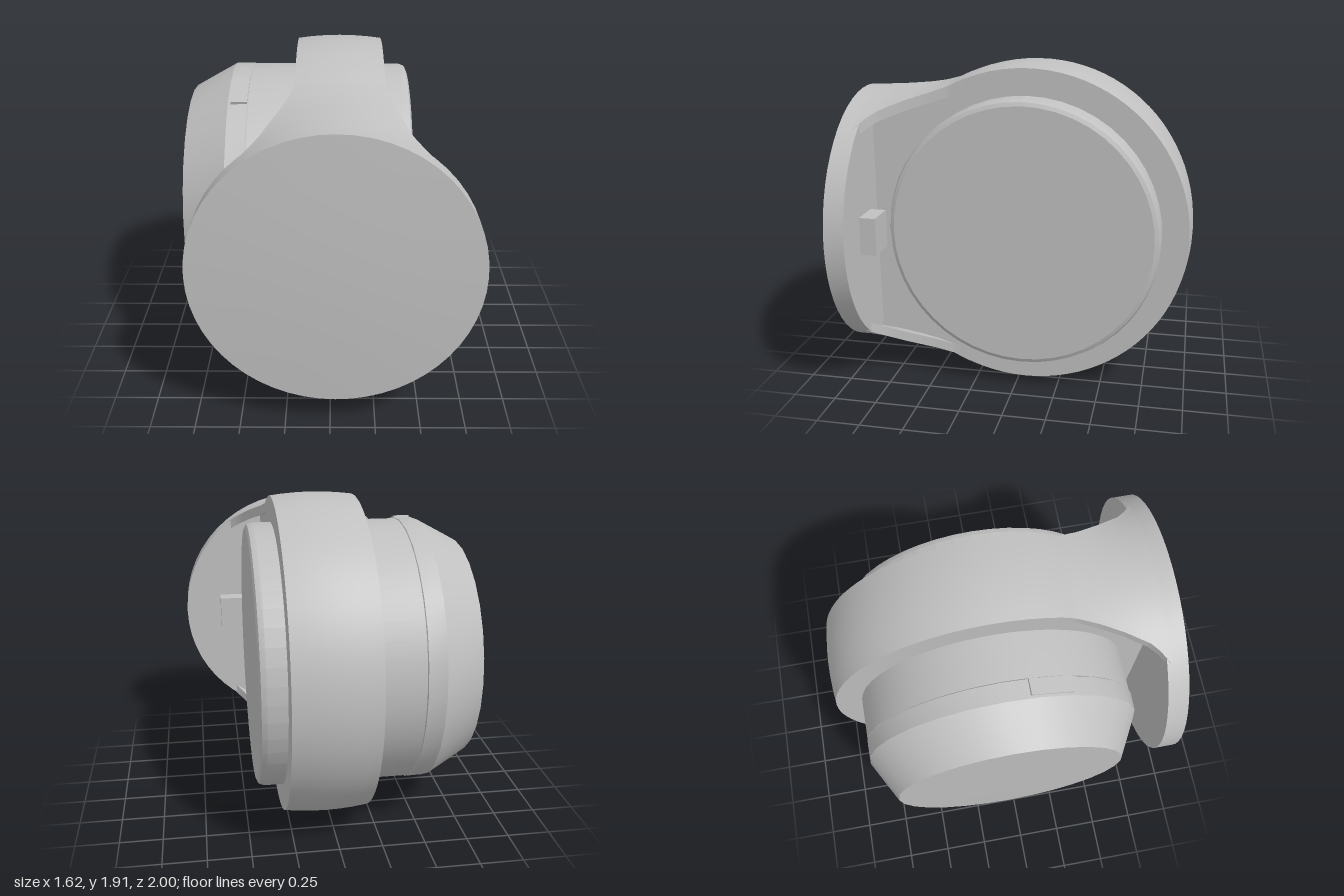
import * as THREE from 'three';
import { toCreasedNormals } from 'three/addons/utils/BufferGeometryUtils.js';

const CY = 0.957, CZ = -0.048, R = 0.953, CX = 0.05, HALF = 0.24;

export function createModel() {
  const model = new THREE.Group();
  const grey = new THREE.MeshStandardMaterial({ color: 0xc0c0c0, side: THREE.DoubleSide });
  grey.name = 'light grey';

  const add = (name, geometry, crease = 0.5) => {
    const mesh = new THREE.Mesh(toCreasedNormals(geometry, crease), grey);
    mesh.name = name;
    model.add(mesh);
    return mesh;
  };
  const lathe = (points, segments) =>
    new THREE.LatheGeometry(points.map(([r, h]) => new THREE.Vector2(r, h)), segments);
  // turned part lying along x, with profile heights equal to x
  const turnedX = (name, points, segments, crease) => {
    const g = lathe(points, segments);
    g.rotateZ(-Math.PI / 2);
    g.translate(0, CY, CZ);
    return add(name, g, crease);
  };
  // linear interpolation in a short [z, value] table
  const sample = (table, z) => {
    for (let i = 1; i < table.length; i++) {
      const [a, va] = table[i - 1], [b, vb] = table[i];
      if (z <= b) return va + (vb - va) * Math.max(0, (z - a) / (b - a));
    }
    return table[table.length - 1][1];
  };

  // Mounting disc with a slightly crowned face
  const disc = lathe([[0, 0.855], [0.78, 0.855], [0.78, 0.972], [0.5, 0.986], [0.25, 0.994], [0, 0.997]], 56);
  disc.rotateX(Math.PI / 2);
  disc.translate(0.03, CY, 0);
  add('mountingDisc', disc);

  // Ring body: a round outline that runs forward into the neck
  const outline = [];
  const start = Math.acos((0.35 - CZ) / R);
  for (let i = 0; i <= 56; i++) {
    const a = start + (2 * Math.PI - 2 * start) * i / 56;
    outline.push([CZ + R * Math.cos(a), R * Math.sin(a)]);
  }
  const neck = [[0.5, 0.79], [0.7, 0.73], [0.88, 0.7]];
  neck.forEach(([z, y]) => outline.push([z, -y]));
  [...neck].reverse().forEach(([z, y]) => outline.push([z, y]));
  const shape = new THREE.Shape(outline.map(([z, y]) => new THREE.Vector2(-z, y)));
  const ring = new THREE.ExtrudeGeometry(shape, { depth: 2 * HALF, steps: 6, bevelEnabled: false });
  ring.rotateY(Math.PI / 2);
  ring.translate(CX - HALF, CY, 0);
  const p = ring.attributes.position;
  for (let i = 0; i < p.count; i++) {
    // crown the rim
    const k = 1 - 0.018 * ((p.getX(i) - CX) / HALF) ** 2;
    p.setY(i, CY + (p.getY(i) - CY) * k);
    p.setZ(i, CZ + (p.getZ(i) - CZ) * k);
  }
  add('ringBody', ring);

  // Flared walls blending the ring into the disc, above and below
  const widths = [[0.3, 0.24], [0.4, 0.243], [0.52, 0.275], [0.64, 0.32], [0.78, 0.385], [0.83, 0.43], [0.88, 0.49]];
  const heights = [[0.4, 0.842], [0.5, 0.815], [0.6, 0.8], [0.75, 0.788], [0.88, 0.781]];
  const flare = (name, side) => {
    const rows = 22, cols = 16, positions = [], indices = [];
    const loop = 2 * (cols + 1);
    for (let r = 0; r <= rows; r++) {
      const z = 0.3 + 0.58 * r / rows;
      const s = THREE.MathUtils.smoothstep(z, 0.3, 0.85);
      const circle = Math.sqrt(R * R - (z - CZ) ** 2);
      const top = z < 0.4 ? circle : Math.max(sample(heights, z), circle);
      const w = sample(widths, z);
      for (let j = 0; j < loop; j++) {
        const inner = j > cols;
        const u = ((inner ? loop - 1 - j : j) / cols) * 2 - 1;
        const dx = u * w;
        const drop = s * (0.78 - Math.sqrt(0.78 * 0.78 - dx * dx)) + (1 - s) * 0.018 * u * u;
        const y = top + 0.001 - drop - (inner ? 0.06 : 0);
        positions.push(CX - 0.02 * s + dx, CY + side * y, z);
      }
    }
    for (let r = 0; r < rows; r++) {
      for (let j = 0; j < loop; j++) {
        const a = r * loop + j, b = r * loop + (j + 1) % loop, c = a + loop, d = b + loop;
        if (side > 0) indices.push(a, c, b, b, c, d);
        else indices.push(a, b, c, b, d, c);
      }
    }
    const g = new THREE.BufferGeometry();
    g.setAttribute('position', new THREE.Float32BufferAttribute(positions, 3));
    g.setIndex(indices);
    g.computeVertexNormals();
    add(name, g, 0.7);
  };
  flare('upperFlare', 1);
  flare('lowerFlare', -1);

  // Drum through the ring, with a bevelled flat end
  turnedX('drum', [[0, -0.45], [0.784, -0.45], [0.784, 0.4], [0.772, 0.43], [0.75, 0.44], [0, 0.44]], 48, 0.4);

  // Tapered, lightly faceted end cap
  turnedX('endCap', [[0, -0.805], [0.655, -0.8], [0.7, -0.72], [0.788, -0.56], [0.79, -0.455], [0.775, -0.445], [0, -0.445]], 28, 0.3);

  // Raised latches on the cap, above and below
  for (const side of [1, -1]) {
    const latch = new THREE.BoxGeometry(0.09, 0.05, 0.24);
    latch.rotateX(side * 0.32);
    latch.translate(-0.5, CY + side * 0.725, 0.2);
    add(side > 0 ? 'upperLatch' : 'lowerLatch', latch);
  }

  // Connector block on the back of the disc
  const block = new THREE.BoxGeometry(0.18, 0.22, 0.1);
  block.translate(0.49, CY, 0.81);
  add('connectorBlock', block);

  return model;
}
